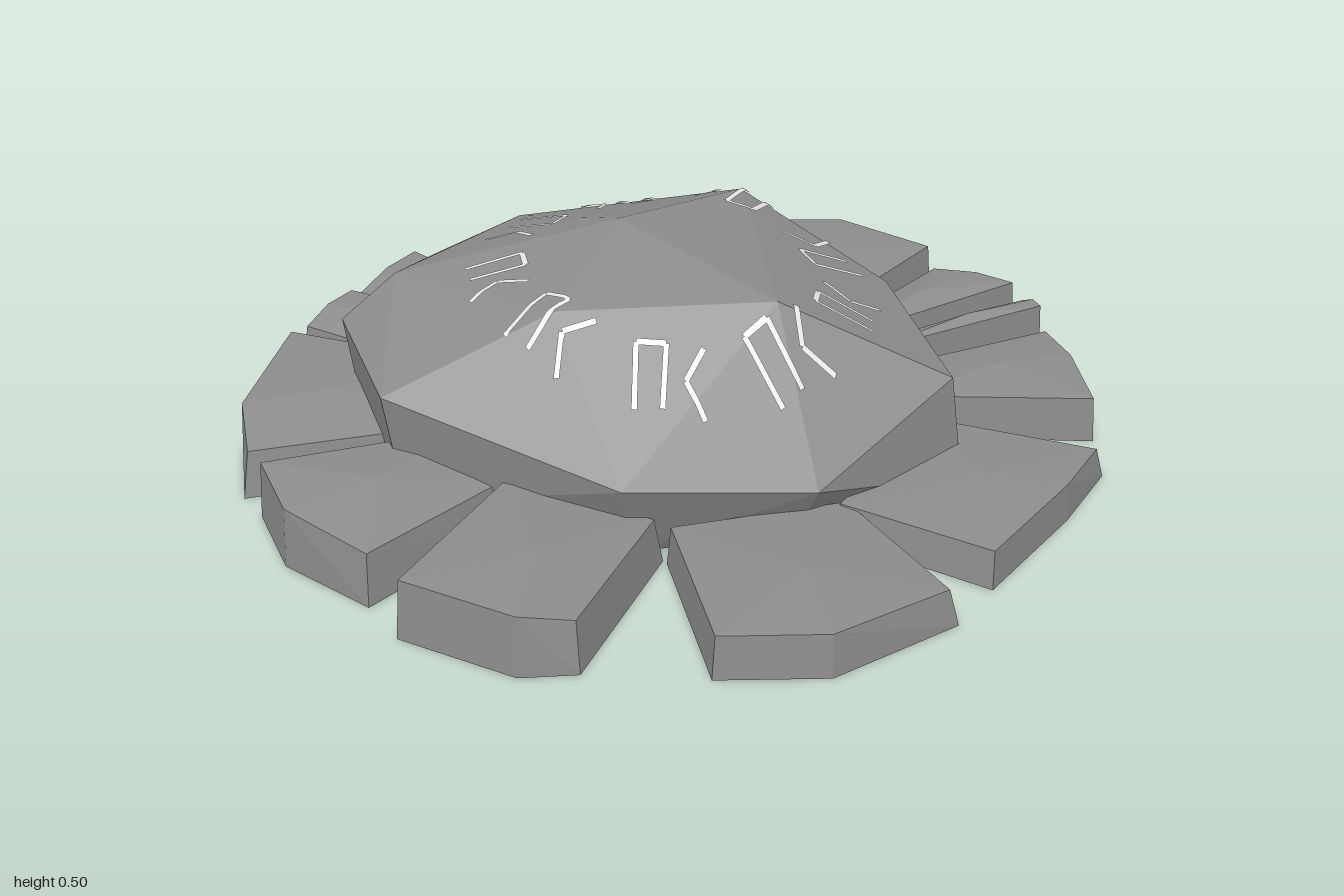
import * as THREE from 'three';
import { ConvexGeometry } from 'three/addons/geometries/ConvexGeometry.js';

const stone = new THREE.MeshStandardMaterial({ color: 0x8d8d8d });
stone.name = 'greyStone';
const paint = new THREE.MeshStandardMaterial({ color: 0xf4f4f4, side: THREE.DoubleSide });
paint.name = 'paleCarving';

// Boulder: widest ring, then the crown with its peak
const shoulder = [
  [-0.71, 0.27, 0.05], [-0.7, 0.28, -0.33], [-0.39, 0.28, -0.6], [0.09, 0.285, -0.64],
  [0.44, 0.29, -0.46], [0.545, 0.285, -0.05], [0.505, 0.25, 0.38], [0.1, 0.145, 0.565], [-0.32, 0.2, 0.5],
];
const crown = [
  [-0.57, 0.375, -0.33], [-0.21, 0.38, -0.52], [0.3, 0.435, -0.36],
  [0.13, 0.45, 0.26], [-0.34, 0.455, 0.14], [-0.08, 0.5, -0.17],
];

// Convex hull of [x, y, z] points; its flat normals keep the facets sharp
function makeStone(points, name) {
  const mesh = new THREE.Mesh(new ConvexGeometry(points.map((p) => new THREE.Vector3(...p))), stone);
  mesh.name = name;
  return mesh;
}

// Foot ring follows the widest ring: tucked under at the front left, flared elsewhere
function makeBoulder() {
  const foot = shoulder.map(([x, , z]) => {
    const scale = x < 0.2 && z > 0 ? 0.85 : 1.05;
    return [x > -0.5 ? x * scale : x * 0.94, 0, z * scale];
  });
  return makeStone([...foot, ...shoulder, ...crown], 'boulder');
}

// Slabs: top height, width at the boulder, then three outer corners (x, z)
const slabs = [
  [0.1, 0.42, -0.285, 0.92, -0.06, 1, 0.255, 0.925],
  [0.09, 0.48, 0.38, 0.835, 0.66, 0.65, 0.83, 0.51],
  [0.11, 0.18, 0.89, 0.365, 0.95, 0.15, 0.98, -0.02],
  [0.12, 0.06, 1, -0.09, 1, -0.13, 1, -0.17],
  [0.12, 0.08, 1, -0.23, 0.94, -0.32, 0.87, -0.42],
  [0.13, 0.34, 0.89, -0.48, 0.745, -0.72, 0.47, -0.885],
  [0.1, 0.4, 0.2, -0.75, 0.1, -0.97, -0.03, -1],
  [0.1, 0.2, -0.145, -0.99, -0.21, -0.99, -0.28, -0.99],
  [0.12, 0.22, -0.365, -0.96, -0.46, -0.89, -0.565, -0.805],
  [0.12, 0.24, -0.575, -0.795, -0.65, -0.74, -0.73, -0.675],
  [0.13, 0.28, -0.77, -0.61, -0.96, -0.29, -1, -0.09],
  [0.14, 0.22, -0.98, 0, -0.975, 0.215, -0.85, 0.43],
  [0.14, 0.36, -0.825, 0.56, -0.64, 0.775, -0.52, 0.81],
];

function makeSlab([height, innerWidth, ...corners], name) {
  const [p0, p1, p2] = [0, 2, 4].map((i) => new THREE.Vector2(corners[i], corners[i + 1]));
  // Inner edge lies across the line from the middle of the boulder
  const inner = p0.clone().add(p2).setLength(0.5);
  const across = new THREE.Vector2(-inner.y, inner.x).setLength(innerWidth / 2);
  const outline = [inner.clone().add(across), p0, p1, p2, inner.clone().sub(across)];
  const centre = outline.reduce((sum, p) => sum.add(p), new THREE.Vector2()).divideScalar(5);
  // Top is drawn in a little, dips along one side and has a low crest
  const dips = [0.95, 1, 1, 0.85, 0.8];
  const ground = outline.map((p) => [p.x, 0, p.y]);
  const top = outline.map((p, i) => {
    const q = p.clone().lerp(centre, i < 3 ? 0.03 : 0.07);
    return [q.x, height * dips[i], q.y];
  });
  return makeStone([...ground, ...top, [centre.x, height * 1.07, centre.y]], name);
}

// Carved strokes of one mark pair: sideways offset and distance from the centre
const strokes = [
  [[-0.09, 0.46], [-0.085, 0.33]], [[-0.085, 0.33], [-0.02, 0.33]], [[-0.02, 0.33], [-0.03, 0.455]],
  [[0.02, 0.4], [0.06, 0.335]], [[0.02, 0.4], [0.06, 0.465]],
];

// Thin strip draped over the boulder
function makeStroke(a, b, surface) {
  const steps = 10, positions = [], index = [];
  const side = new THREE.Vector2(b.y - a.y, a.x - b.x).setLength(0.0065);
  const ray = new THREE.Raycaster();
  for (let i = 0; i <= steps; i++) {
    for (const s of [1, -1]) {
      const p = a.clone().lerp(b, i / steps).addScaledVector(side, s);
      ray.set(new THREE.Vector3(p.x, 2, p.y), new THREE.Vector3(0, -1, 0));
      const hit = ray.intersectObject(surface)[0];
      const at = hit.point.addScaledVector(hit.face.normal, 0.005);
      positions.push(at.x, at.y, at.z);
    }
    const k = i * 2;
    if (i < steps) index.push(k, k + 1, k + 2, k + 1, k + 3, k + 2);
  }
  const geo = new THREE.BufferGeometry();
  geo.setAttribute('position', new THREE.Float32BufferAttribute(positions, 3));
  geo.setIndex(index);
  geo.computeVertexNormals();
  // Make sure the strip faces up
  if (geo.attributes.normal.getY(0) < 0) {
    geo.setIndex(index.reverse());
    geo.computeVertexNormals();
  }
  const mesh = new THREE.Mesh(geo, paint);
  mesh.name = 'carvedStroke';
  return mesh;
}

export function createModel() {
  const model = new THREE.Group();
  model.name = 'carvedBoulder';

  const boulder = makeBoulder();
  model.add(boulder);
  slabs.forEach((slab, i) => model.add(makeSlab(slab, `groundSlab${i + 1}`)));

  // Nine pairs of marks in a ring
  for (let i = 0; i < 9; i++) {
    const angle = -Math.PI / 2 + (i * Math.PI * 2) / 9;
    const c = Math.cos(angle), s = Math.sin(angle);
    const place = ([u, r]) => new THREE.Vector2(c * r + s * u, -0.035 + s * r - c * u);
    const marks = new THREE.Group();
    marks.name = `carvedMarks${i + 1}`;
    for (const [a, b] of strokes) marks.add(makeStroke(place(a), place(b), boulder));
    model.add(marks);
  }
  return model;
}
